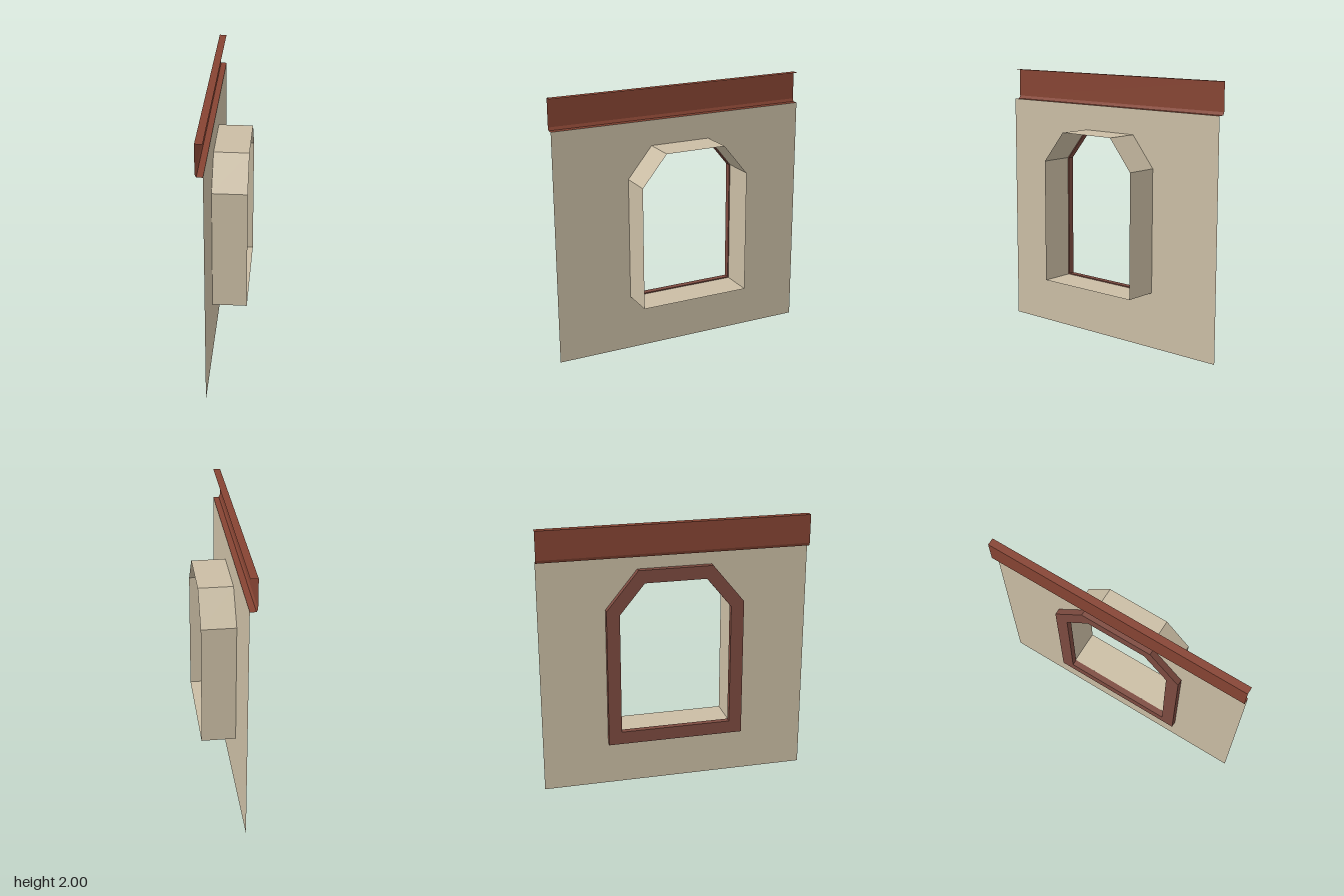
import * as THREE from 'three';

const WALL_X = -0.1, FRONT_X = 0.153;

// Chamfered window outline as [z, y] corners, grown outward by d with mitred corners
function outline(d) {
  const w = 0.422, bend = 1.347, topW = 0.233, top = 1.578, bottom = 0.42;
  const len = Math.hypot(w - topW, top - bend);
  const nz = (top - bend) / len, ny = (w - topW) / len;
  const bendY = bend + d * (1 - nz) / ny;
  const topZ = topW + d * (1 - ny) / nz;
  return [
    [-w - d, bottom - d], [w + d, bottom - d], [w + d, bendY],
    [topZ, top + d], [-topZ, top + d], [-w - d, bendY],
  ];
}

const toVec2 = (pts) => pts.map(([a, b]) => new THREE.Vector2(a, b));

function shapeWithHole(outer, inner) {
  const shape = new THREE.Shape(toVec2(outer));
  shape.holes.push(new THREE.Path(toVec2(inner).reverse()));
  return shape;
}

// Flat-faced open sheet joining two matching rows of points
function sheet(rowA, rowB) {
  const pos = [];
  for (let i = 0; i < rowA.length - 1; i++) {
    const a = rowA[i], b = rowA[i + 1], c = rowB[i + 1], d = rowB[i];
    pos.push(...a, ...b, ...c, ...a, ...c, ...d);
  }
  const geo = new THREE.BufferGeometry();
  geo.setAttribute('position', new THREE.Float32BufferAttribute(pos, 3));
  geo.computeVertexNormals();
  return geo;
}

export function createModel() {
  const group = new THREE.Group();
  const material = (name, color) => {
    const m = new THREE.MeshStandardMaterial({ color, side: THREE.DoubleSide });
    m.name = name;
    return m;
  };
  const plaster = material('beige plaster', 0xcabda4);
  const trimRed = material('red trim', 0x864433);
  const frameBrown = material('red brown frame', 0x7d4b40);
  const add = (name, geo, mat) => {
    const mesh = new THREE.Mesh(geo, mat);
    mesh.name = name;
    group.add(mesh);
  };

  // Thin wall panel with the window opening
  const wallEdge = [[-1, 0], [1, 0], [1, 1.768], [-1, 1.768]];
  const wall = new THREE.ShapeGeometry(shapeWithHole(wallEdge, outline(0)));
  wall.rotateY(Math.PI / 2).translate(WALL_X, 0, 0);
  add('wall', wall, plaster);

  // Deep window reveal
  const loop = outline(0);
  loop.push(loop[0]);
  const rim = (x) => loop.map(([z, y]) => [x, y, z]);
  add('windowReveal', sheet(rim(WALL_X), rim(FRONT_X)), plaster);

  // Raised frame on the other face of the wall
  const frame = new THREE.ExtrudeGeometry(shapeWithHole(outline(0.09), outline(-0.007)), {
    depth: 0.045, bevelEnabled: false,
  });
  frame.rotateY(Math.PI / 2).translate(-0.147, 0, 0);
  add('windowFrame', frame, frameBrown);

  // Channel-shaped cornice: top flange, web, small chamfer and bottom flange
  const profile = [[WALL_X, 2], [-0.153, 2], [-0.153, 1.79], [-0.143, 1.768], [WALL_X, 1.768]];
  const row = (z) => profile.map(([x, y]) => [x, y, z]);
  add('cornice', sheet(row(-1), row(1)), trimRed);

  return group;
}
